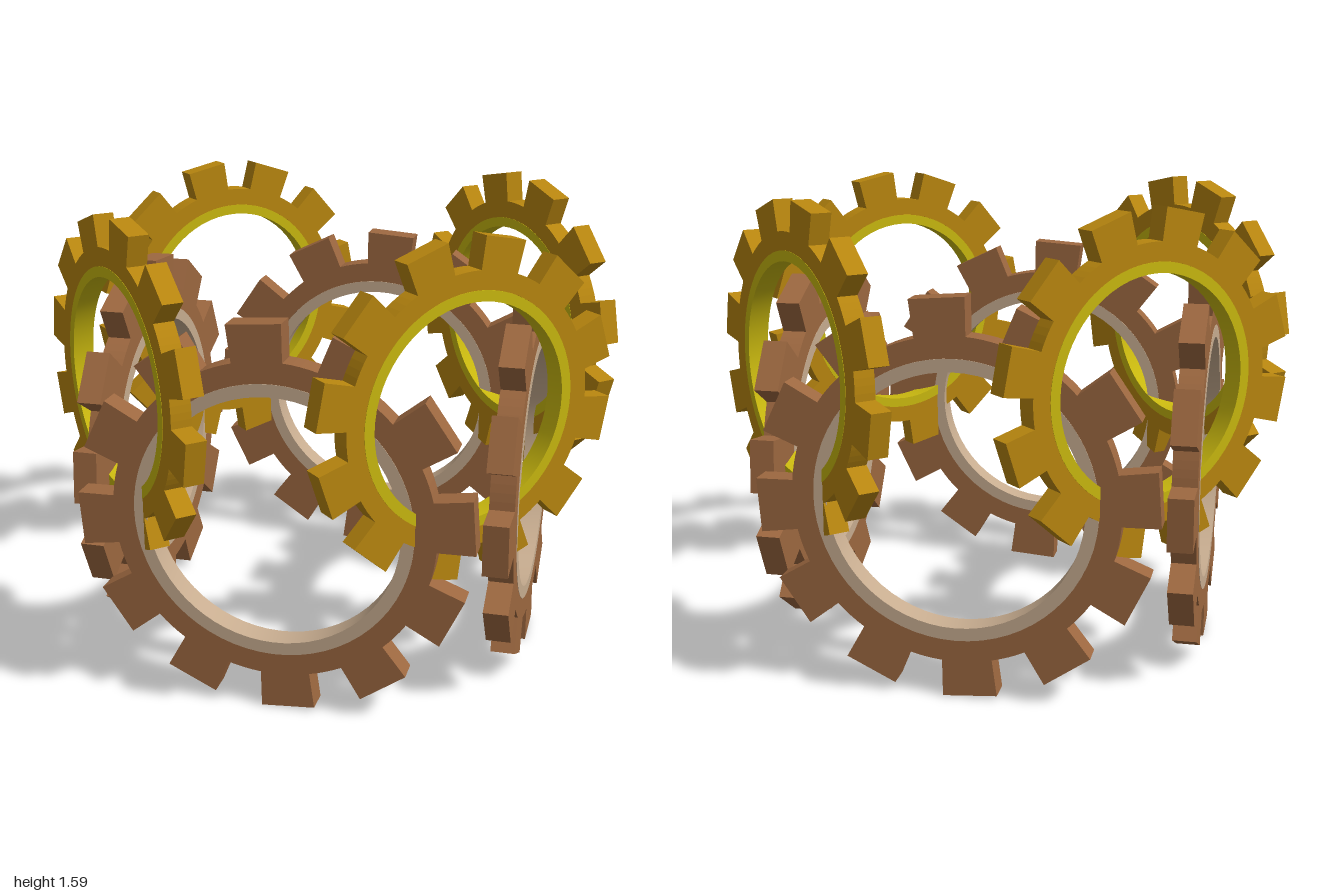
import * as THREE from 'three';
import { toCreasedNormals } from 'three/addons/utils/BufferGeometryUtils.js';

const TEETH = 12;
const mat = (name, color) => {
  const m = new THREE.MeshStandardMaterial({ color });
  m.name = name;
  return m;
};

// Toothed wheel body: straight-sided teeth on a round rim, with a round hole.
function gearBody(outer, root, hole, depth, phase) {
  const shape = new THREE.Shape();
  const rootHalf = 0.155, tipHalf = 0.137; // half angles of a tooth
  const step = (Math.PI * 2) / TEETH;
  for (let i = 0; i < TEETH; i++) {
    const a = Math.PI / 2 - phase + i * step;
    const put = (r, t) => {
      const x = r * Math.cos(t), y = r * Math.sin(t);
      if (i === 0 && r === root && t < a) shape.moveTo(x, y);
      else shape.lineTo(x, y);
    };
    put(root, a - rootHalf);
    put(outer, a - tipHalf);
    put(outer, a + tipHalf);
    put(root, a + rootHalf);
    // Rim between this tooth and the next
    const gap = step - 2 * rootHalf;
    for (let k = 1; k <= 3; k++) put(root, a + rootHalf + (gap * k) / 4);
  }
  shape.closePath();
  const opening = new THREE.Path();
  opening.absarc(0, 0, hole, 0, Math.PI * 2, true);
  shape.holes.push(opening);
  const geo = new THREE.ExtrudeGeometry(shape, { depth, bevelEnabled: false, curveSegments: 48 });
  return geo.translate(0, 0, -depth / 2);
}

// Flat lining ring inside the wheel.
function liningRing(inner, outer, depth) {
  const h = depth / 2;
  const profile = [[inner, -h], [outer, -h], [outer, h], [inner, h], [inner, -h]]
    .map(([r, y]) => new THREE.Vector2(r, y));
  const geo = new THREE.LatheGeometry(profile, 64).rotateX(Math.PI / 2);
  return toCreasedNormals(geo, 0.6);
}

export function createModel() {
  const model = new THREE.Group();
  model.name = 'gearCage';

  const kinds = [
    { // upper gears, square to the axes
      name: 'upperGear', outer: 0.557, root: 0.452, hole: 0.39, inner: 0.355, depth: 0.07,
      phase: 0.2, x: 0, y: 1.035, dist: 0.805, turn: 0,
      body: mat('gold', 0xb8860f), lining: mat('yellow', 0xc9b80f),
    },
    { // lower gears, on the diagonals
      name: 'lowerGear', outer: 0.662, root: 0.538, hole: 0.466, inner: 0.423, depth: 0.083,
      phase: -0.075, x: -0.016, y: 0.66, dist: 0.695, turn: Math.PI / 4,
      body: mat('brown', 0x9d6840), lining: mat('pale tan', 0xc8ad90),
    },
  ];

  for (const k of kinds) {
    const bodyGeo = gearBody(k.outer, k.root, k.hole, k.depth, k.phase);
    const ringGeo = liningRing(k.inner, k.hole, k.depth + 0.002);
    for (let i = 0; i < 4; i++) {
      const pivot = new THREE.Group();
      pivot.name = k.name;
      pivot.rotation.y = k.turn + (i * Math.PI) / 2;
      const body = new THREE.Mesh(bodyGeo, k.body);
      body.name = 'toothedWheel';
      const ring = new THREE.Mesh(ringGeo, k.lining);
      ring.name = 'liningRing';
      for (const m of [body, ring]) {
        m.position.set(k.x, k.y, k.dist);
        pivot.add(m);
      }
      model.add(pivot);
    }
  }
  return model;
}
